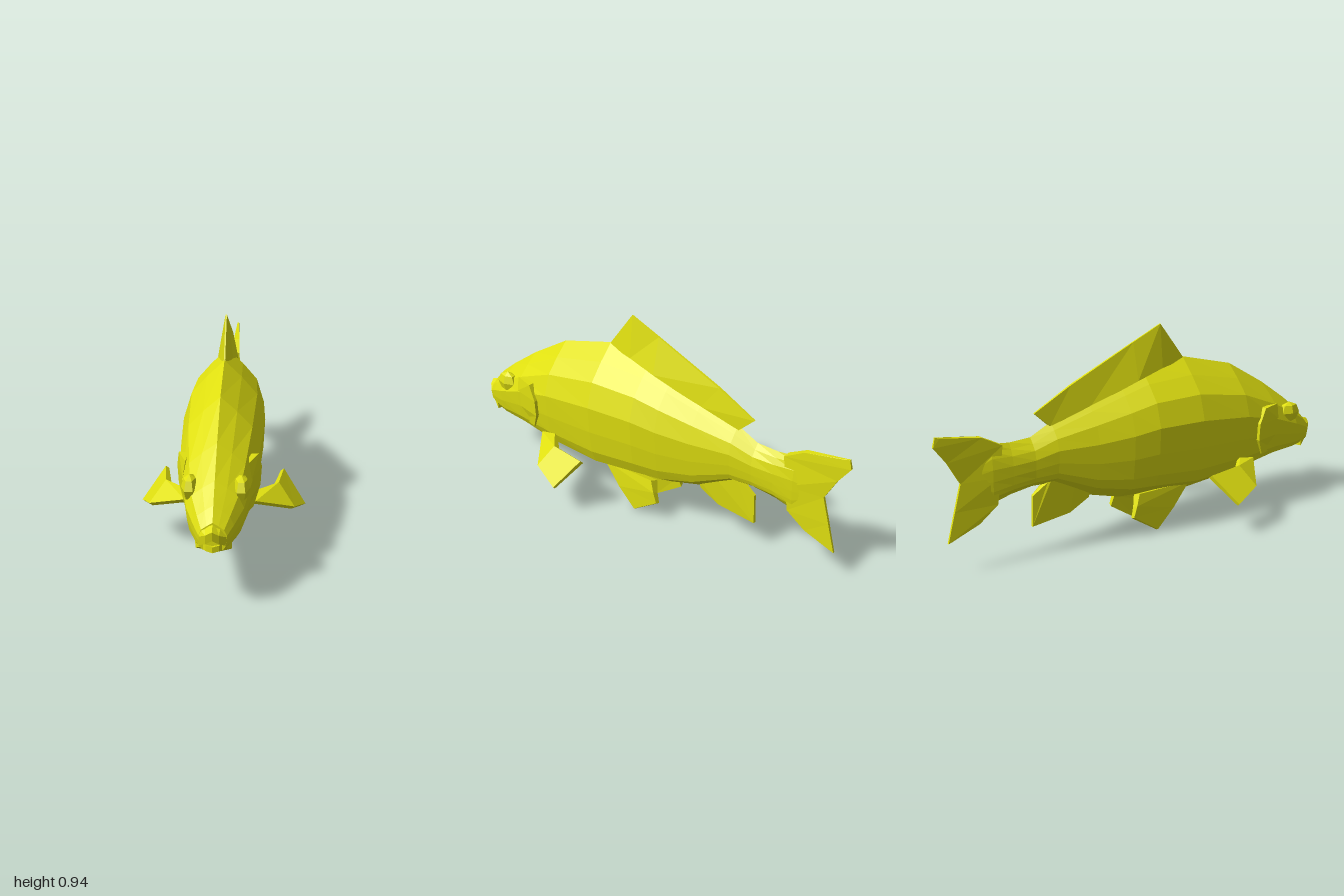
import * as THREE from 'three';

const scaleYellow = new THREE.MeshStandardMaterial({ color: 0xe0e010, flatShading: true, side: THREE.DoubleSide });
scaleYellow.name = 'scaleYellow';

// Closed loft through equal-length rings of [x, y, z], capped at both ends
function loft(name, rings) {
  const n = rings[0].length, index = [];
  const pos = rings.flat();
  for (let r = 0; r < rings.length - 1; r++) {
    for (let i = 0; i < n; i++) {
      const a = r * n + i, b = r * n + (i + 1) % n;
      index.push(a, b, b + n, a, b + n, a + n);
    }
  }
  const end = (rings.length - 1) * n;
  for (let i = 1; i < n - 1; i++) {
    index.push(0, i + 1, i, end, end + i, end + i + 1);
  }
  // Turn the faces outwards whichever way the rings run
  const v = pos.map(p => new THREE.Vector3(...p));
  let volume = 0;
  for (let i = 0; i < index.length; i += 3) {
    volume += v[index[i]].dot(v[index[i + 1]].clone().cross(v[index[i + 2]]));
  }
  if (volume < 0) index.reverse();
  const g = new THREE.BufferGeometry();
  g.setAttribute('position', new THREE.Float32BufferAttribute(pos.flat(), 3));
  g.setIndex(index);
  const flat = g.toNonIndexed();
  flat.computeVertexNormals();
  const mesh = new THREE.Mesh(flat, scaleYellow);
  mesh.name = name;
  return mesh;
}

// Fin from stations [edgeA, edgeB, halfThicknessA, halfThicknessB], thickened along a normal
function fin(name, normal, stations) {
  const n = new THREE.Vector3(...normal).normalize();
  const off = (p, t) => new THREE.Vector3(...p).addScaledVector(n, t).toArray();
  return loft(name, stations.map(([a, b, ta, tb]) => [off(a, ta), off(b, tb), off(b, -tb), off(a, -ta)]));
}

export function createModel() {
  const fish = new THREE.Group();
  fish.name = 'fish';

  // Body sections: z, back height, belly height, half width
  const sections = [
    [0.965, 0.375, 0.25, 0.054], [0.92, 0.425, 0.235, 0.078], [0.84, 0.49, 0.225, 0.112],
    [0.7, 0.59, 0.21, 0.138], [0.5, 0.71, 0.165, 0.162], [0.23, 0.78, 0.14, 0.175],
    [0, 0.765, 0.165, 0.163], [-0.12, 0.725, 0.175, 0.143], [-0.28, 0.665, 0.22, 0.108],
    [-0.46, 0.59, 0.315, 0.07], [-0.56, 0.54, 0.32, 0.05], [-0.66, 0.535, 0.305, 0.036],
    [-0.75, 0.545, 0.28, 0.025], [-0.83, 0.47, 0.34, 0.008],
  ];
  // Half outline of a section: height fraction, width fraction
  const outline = [[1, 0], [0.89, 0.42], [0.77, 0.8], [0.59, 1], [0.39, 0.96], [0.22, 0.88], [0.125, 0.74], [0, 0]];
  const mirrored = outline.slice(1, -1).reverse().map(([h, w]) => [h, -w]);
  fish.add(loft('body', sections.map(([z, top, bottom, hw]) =>
    [...outline, ...mirrored].map(([h, w]) => [w * hw, bottom + h * (top - bottom), z]))));

  // Lips, swept across the snout with a gap for the mouth
  const across = [-1, -0.5, 0, 0.5, 1];
  fish.add(fin('upperLip', [0, 1, 0.2], across.map(s => [
    [s * 0.065, 0.34 - 0.03 * Math.abs(s), 0.92], [s * 0.052, 0.335 - 0.035 * Math.abs(s), 1 - 0.035 * s * s], 0.04, 0.02])));
  fish.add(fin('lowerLip', [0, 1, 0], across.map(s => [
    [s * 0.07, 0.252 + 0.01 * Math.abs(s), 0.91], [s * 0.05, 0.272 + 0.008 * Math.abs(s), 0.985 - 0.035 * s * s], 0.018, 0.012])));

  // Dorsal, tail and anal fins on the centre line
  const X = [1, 0, 0];
  fish.add(fin('dorsalFin', X, [
    [[0, 0.765, 0.235], [0, 0.785, 0.225], 0.004, 0.003],
    [[0, 0.75, 0.1], [0, 0.946, 0.105], 0.03, 0.003],
    [[0, 0.715, -0.04], [0, 0.882, -0.04], 0.045, 0.004],
    [[0, 0.63, -0.28], [0, 0.737, -0.36], 0.028, 0.006],
    [[0, 0.575, -0.47], [0, 0.64, -0.54], 0.012, 0.004],
  ]));
  fish.add(fin('tailFin', X, [
    [[0, 0.208, -0.815], [0, 0.148, -0.957], 0.012, 0.005],
    [[0, 0.28, -0.73], [0, 0.28, -0.922], 0.02, 0.006],
    [[0, 0.4, -0.72], [0, 0.4, -0.89], 0.025, 0.006],
    [[0, 0.535, -0.7], [0, 0.5, -0.945], 0.02, 0.006],
    [[0, 0.583, -0.79], [0, 0.575, -1], 0.014, 0.006],
    [[0, 0.612, -0.97], [0, 0.617, -0.99], 0.006, 0.004],
  ]));
  fish.add(fin('analFin', X, [
    [[0, 0.26, -0.28], [0, 0.215, -0.285], 0.022, 0.015],
    [[0, 0.31, -0.36], [0, 0.16, -0.38], 0.025, 0.01],
    [[0, 0.345, -0.47], [0, 0.135, -0.565], 0.02, 0.007],
    [[0, 0.325, -0.49], [0, 0.275, -0.56], 0.014, 0.007],
  ]));

  // Paired parts
  for (const [s, side] of [[1, 'left'], [-1, 'right']]) {
    fish.add(fin(side + 'PectoralFin', [s * 0.7, 0.65, 0.25], [
      [[s * 0.14, 0.27, 0.54], [s * 0.14, 0.285, 0.46], 0.01, 0.01],
      [[s * 0.3, 0.2, 0.43], [s * 0.228, 0.285, 0.38], 0.01, 0.016],
      [[s * 0.35, 0.157, 0.295], [s * 0.252, 0.28, 0.208], 0.006, 0.01],
    ]));
    fish.add(fin(side + 'PelvicFin', [s, 0.35, 0.2], [
      [[s * 0.05, 0.19, 0.22], [s * 0.075, 0.2, -0.07], 0.02, 0.02],
      [[s * 0.068, 0.09, 0.125], [s * 0.092, 0.15, -0.09], 0.018, 0.014],
      [[s * 0.085, 0.008, 0.035], [s * 0.095, 0.1, -0.105], 0.006, 0.01],
    ]));
    // Gill cover, flush in front and raised at its rear edge
    const gill = [[0.28, 0.14, 0.6], [0.36, 0.166, 0.56], [0.44, 0.171, 0.56], [0.51, 0.16, 0.6]];
    fish.add(loft(side + 'GillCover', gill.map(([y, x, z]) =>
      [[s * (x - 0.035), y, 0.7], [s * x, y, z], [s * (x - 0.04), y, z]])));
    // Eye bulge
    const eye = new THREE.Mesh(new THREE.SphereGeometry(1, 6, 4).toNonIndexed(), scaleYellow);
    eye.geometry.computeVertexNormals();
    eye.name = side + 'Eye';
    eye.scale.set(0.033, 0.052, 0.06);
    eye.position.set(s * 0.1, 0.445, 0.795);
    fish.add(eye);
  }
  return fish;
}
